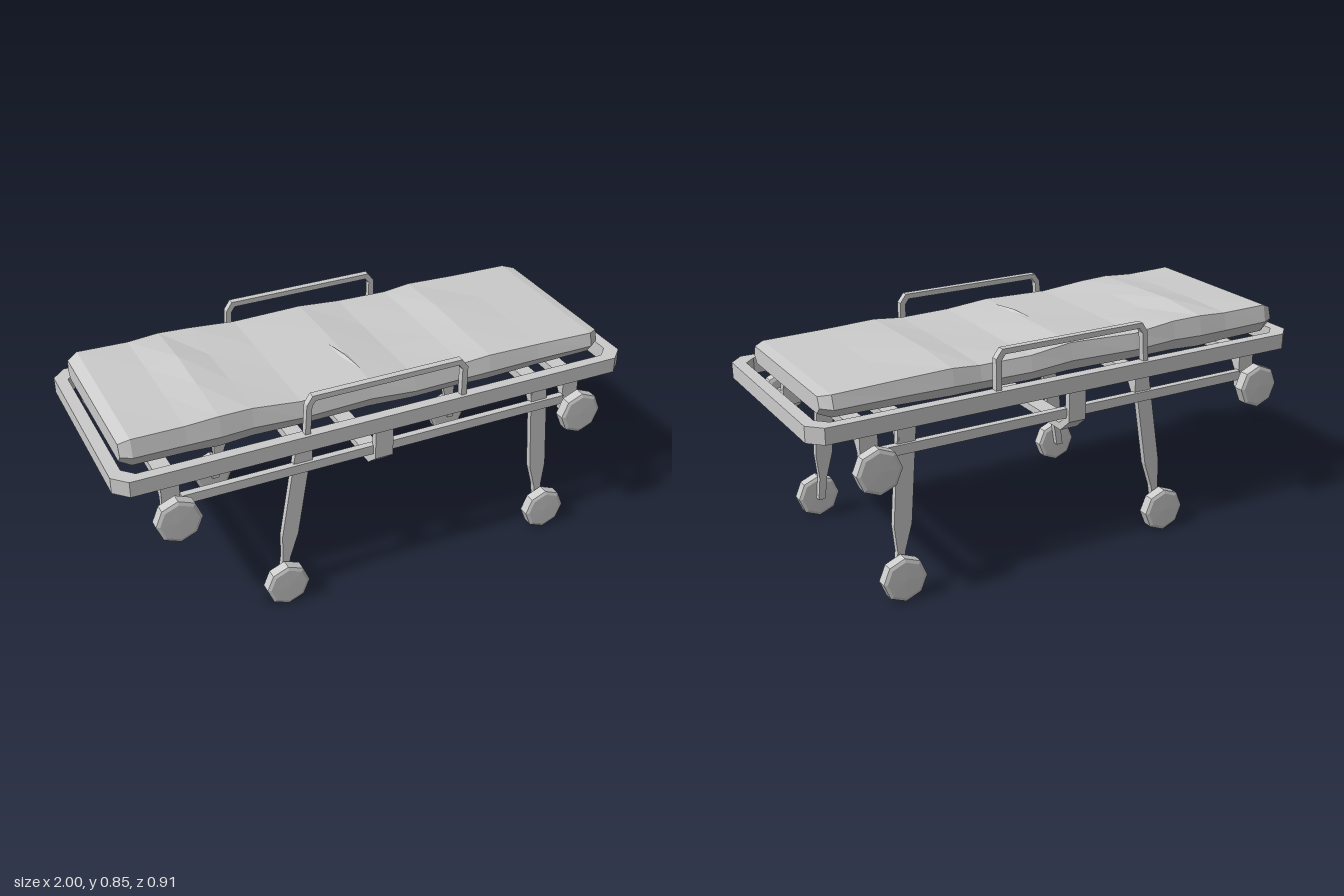
import * as THREE from 'three';

const material = new THREE.MeshStandardMaterial({ color: 0xcccccc, flatShading: true });

function add(parent, name, geometry, x = 0, y = 0, z = 0) {
  const mesh = new THREE.Mesh(geometry, material);
  mesh.name = name;
  mesh.position.set(x, y, z);
  parent.add(mesh);
  return mesh;
}

const toShape = (pts) => new THREE.Shape(pts.map(([x, y]) => new THREE.Vector2(x, y)));
const extrude = (shape, depth) =>
  new THREE.ExtrudeGeometry(shape, { depth, bevelEnabled: false }).translate(0, 0, -depth / 2);

// Half outline in (z, y), mirrored across z = 0 and extruded along x
function crossBracket(half, width) {
  const mirrored = half.map(([z, y]) => [-z, y]).reverse();
  return extrude(toShape([...half, ...mirrored]), width).rotateY(Math.PI / 2);
}

// Rectangle with cut corners
const cutRect = (w, h, c) => [
  [w - c, -h], [w, -h + c], [w, h - c], [w - c, h],
  [-w + c, h], [-w, h - c], [-w, -h + c], [-w + c, -h],
];

function wheelGeometry() {
  const profile = [[0, -0.025], [0.07, -0.024], [0.083, -0.019], [0.083, 0.019], [0.07, 0.024], [0, 0.025]];
  return new THREE.LatheGeometry(profile.map(([r, y]) => new THREE.Vector2(r, y)), 8).rotateX(Math.PI / 2);
}

// Soft pad lofted through cross-sections: [x, bottom, top, width scale, bump]
function mattressGeometry() {
  const stations = [
    [-0.95, 0.712, 0.785, 0.95, 0], [-0.91, 0.695, 0.803, 1, 0], [-0.72, 0.69, 0.8, 0.99, 0.004],
    [-0.6, 0.685, 0.808, 1, 0.015], [-0.48, 0.69, 0.805, 0.985, -0.004], [-0.3, 0.69, 0.788, 1, 0.003],
    [-0.03, 0.69, 0.797, 0.98, 0.004], [0.14, 0.685, 0.78, 1, -0.003], [0.34, 0.685, 0.778, 0.985, 0.004],
    [0.45, 0.685, 0.788, 1, 0.01], [0.66, 0.69, 0.782, 0.99, 0], [0.89, 0.695, 0.777, 1, 0],
    [0.93, 0.707, 0.77, 0.92, 0],
  ];
  const positions = [], index = [], n = 8;
  for (const [x, bottom, top, s, bump] of stations) {
    const side = bottom + (top - bottom) * 0.4;
    const ring = [
      [0.31, bottom], [0.335, side], [0.32, top], [0.1, top + bump / 2],
      [-0.1, top + bump], [-0.32, top], [-0.335, side], [-0.31, bottom],
    ];
    for (const [z, y] of ring) positions.push(x, y, z * s - 0.006);
  }
  for (let i = 0; i < stations.length - 1; i++) {
    for (let j = 0; j < n; j++) {
      const a = i * n + j, c = i * n + (j + 1) % n;
      index.push(a, a + n, c, a + n, c + n, c);
    }
  }
  const last = (stations.length - 1) * n;
  for (let j = 1; j < n - 1; j++) {
    index.push(0, j, j + 1, last, last + j + 1, last + j);
  }
  const geometry = new THREE.BufferGeometry();
  geometry.setAttribute('position', new THREE.Float32BufferAttribute(positions, 3));
  geometry.setIndex(index);
  geometry.computeVertexNormals();
  return geometry;
}

// Leaning leg that narrows above its wheel: stations [x, y, half width]
function legGeometry(stations) {
  const right = stations.map(([x, y, w]) => [x + w, y]);
  const left = stations.map(([x, y, w]) => [x - w, y]).reverse();
  return extrude(toShape([...right, ...left]), 0.024);
}

export function createModel() {
  const model = new THREE.Group();
  model.name = 'wheeledStretcher';

  // Bed frame
  const frame = toShape(cutRect(1, 0.403, 0.05));
  frame.holes.push(new THREE.Path(cutRect(0.955, 0.362, 0.04).map(([x, y]) => new THREE.Vector2(x, y))));
  add(model, 'bedFrame', extrude(frame, 0.06).rotateX(-Math.PI / 2), 0, 0.67, 0);

  // Mattress with small folds on top
  add(model, 'mattress', mattressGeometry());
  for (const [x, y, z, turn] of [[-0.595, 0.812, -0.03, -0.12], [-0.04, 0.799, 0.11, 0.14], [0.44, 0.788, -0.1, 0.18]]) {
    const fold = add(model, 'mattressFold', new THREE.OctahedronGeometry(1), x, y, z);
    fold.scale.set(0.014, 0.007, 0.11);
    fold.rotation.y = turn;
  }

  // Hanging bracket under the middle
  const hanger = [
    [0.335, 0.476], [0.393, 0.525], [0.393, 0.65], [0.366, 0.65], [0.366, 0.535], [0.325, 0.502],
  ];
  add(model, 'middleBracket', crossBracket(hanger, 0.07), -0.015, 0, 0);

  // Arched brackets carrying the upper wheels and the legs
  const arch = (low) => [
    [0.34, low], [0.366, low], [0.366, 0.645], [0.31, 0.645], [0.31, 0.613], [0.34, 0.567],
  ];
  const archBracket = (low, width) => {
    const [a, b, c, d, e, f] = arch(low);
    return crossBracket([e, f, a, b, c, d], width);
  };
  for (const x of [-0.805, 0.785]) {
    add(model, 'upperWheelBracket', archBracket(0.5, 0.066), x, 0, 0);
  }
  for (const x of [-0.315, 0.645]) {
    add(model, 'legCrossBracket', archBracket(0.55, 0.062), x, 0, 0);
  }

  // Guard rail outline
  const guard = toShape([
    [-0.322, 0.66], [-0.312, 0.815], [-0.29, 0.848], [0.29, 0.848], [0.315, 0.815], [0.315, 0.66],
    [0.293, 0.66], [0.293, 0.808], [0.278, 0.828], [-0.278, 0.828], [-0.292, 0.808], [-0.302, 0.66],
  ]);
  const legs = [
    [[-0.312, 0.645, 0.031], [-0.374, 0.27, 0.031], [-0.391, 0.17, 0.015], [-0.405, 0.08, 0.014]],
    [[0.643, 0.645, 0.034], [0.671, 0.27, 0.034], [0.68, 0.17, 0.015], [0.69, 0.08, 0.014]],
  ];

  for (const side of [1, -1]) {
    const name = side > 0 ? 'front' : 'back';
    add(model, name + 'GuardRail', extrude(guard, 0.026), 0, 0, side * 0.377);
    add(model, name + 'LowerRail', new THREE.BoxGeometry(1.52, 0.036, 0.026), -0.01, 0.555, side * 0.364);

    // Upper wheels on short axles
    for (const x of [-0.805, 0.785]) {
      add(model, name + 'UpperWheel', wheelGeometry(), x, 0.525, side * 0.428);
      add(model, name + 'UpperAxle', new THREE.BoxGeometry(0.066, 0.05, 0.07), x, 0.525, side * 0.375);
    }

    // Legs and ground wheels
    for (const stations of legs) {
      add(model, name + 'Leg', legGeometry(stations), 0, 0, side * 0.353);
      add(model, name + 'GroundWheel', wheelGeometry(), stations[3][0], 0.083, side * 0.392);
    }
  }
  return model;
}
